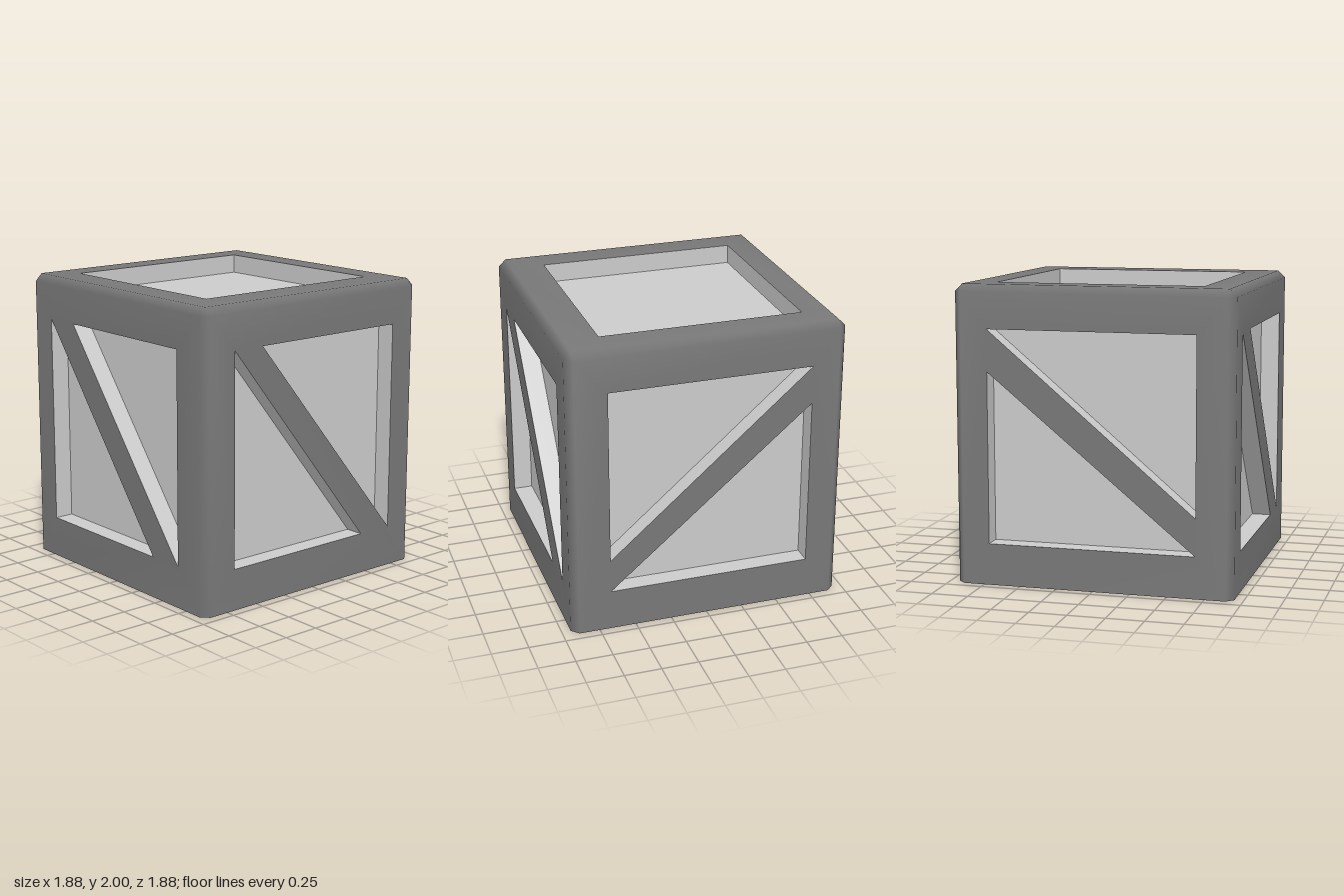
import * as THREE from 'three';
import { mergeGeometries, mergeVertices } from 'three/addons/utils/BufferGeometryUtils.js';

const HALF = 0.94, TOP = 2, CHAMFER = 0.05, DEPTH = 0.13;
const IN = HALF - CHAMFER, SHOULDER = TOP - CHAMFER;

const frameMaterial = new THREE.MeshStandardMaterial({ color: 0x787878, side: THREE.DoubleSide });
const panelMaterial = new THREE.MeshStandardMaterial({ color: 0xcccccc, side: THREE.DoubleSide });

// Each face lies in local x/y and looks along +z; openings run counter-clockwise.
const faces = [
  { name: 'front', turn: 0, openings: [
    [[-0.69, 1.71], [-0.69, 0.28], [0.45, 0.28]],
    [[-0.46, 1.71], [0.71, 0.28], [0.71, 1.71]] ] },
  { name: 'left', turn: 1, openings: [
    [[-0.67, 1.71], [-0.67, 0.51], [0.71, 1.71]],
    [[-0.67, 0.28], [0.71, 0.28], [0.71, 1.45]] ] },
  { name: 'back', turn: 2, openings: [
    [[-0.71, 1.71], [0.69, 0.53], [0.69, 1.71]],
    [[-0.71, 1.43], [-0.71, 0.28], [0.69, 0.28]] ] },
  { name: 'right', turn: 3, openings: [
    [[-0.71, 1.71], [-0.71, 0.28], [0.41, 0.28]],
    [[-0.45, 1.71], [0.67, 0.28], [0.67, 1.71]] ] },
  { name: 'top', openings: [
    [[-0.69, -0.66], [0.71, -0.66], [0.71, 0.71], [-0.69, 0.71]] ] },
];

function faceMatrix(face) {
  if (face.turn === undefined) {
    return new THREE.Matrix4().makeRotationX(-Math.PI / 2).setPosition(0, TOP, 0);
  }
  const turn = new THREE.Matrix4().makeRotationY(face.turn * Math.PI / 2);
  return turn.multiply(new THREE.Matrix4().makeTranslation(0, 0, HALF));
}

const toPoints = list => list.map(([x, y]) => new THREE.Vector2(x, y));

// Convex polygons as plain flat-shaded triangles
function polygons(list) {
  const pos = [];
  for (const p of list) {
    for (let i = 1; i < p.length - 1; i++) pos.push(...p[0], ...p[i], ...p[i + 1]);
  }
  const geo = new THREE.BufferGeometry();
  geo.setAttribute('position', new THREE.Float32BufferAttribute(pos, 3));
  geo.computeVertexNormals();
  return geo;
}

// Flat border of one face, with its openings cut out
function faceSkin(face) {
  const [low, high] = face.turn === undefined ? [-IN, IN] : [0, SHOULDER];
  const shape = new THREE.Shape(toPoints([[-IN, low], [IN, low], [IN, high], [-IN, high]]));
  face.openings.forEach(o => shape.holes.push(new THREE.Path(toPoints(o))));
  const geo = new THREE.ShapeGeometry(shape).toNonIndexed();
  geo.deleteAttribute('uv');
  return geo.applyMatrix4(faceMatrix(face));
}

// One upright chamfer, one top chamfer and the corner between them
function chamfers(turn) {
  const a = [IN, SHOULDER, HALF], b = [HALF, SHOULDER, IN], c = [IN, TOP, IN];
  return polygons([
    [[IN, 0, HALF], [HALF, 0, IN], b, a],
    [[-IN, SHOULDER, HALF], a, c, [-IN, TOP, IN]],
    [a, b, c],
  ]).applyMatrix4(new THREE.Matrix4().makeRotationY(turn * Math.PI / 2));
}

// Sunken panel with the walls leading down to it
function recess(opening) {
  const walls = opening.map(([ax, ay], i) => {
    const [bx, by] = opening[(i + 1) % opening.length];
    return [[ax, ay, 0], [bx, by, 0], [bx, by, -DEPTH], [ax, ay, -DEPTH]];
  });
  return polygons([...walls, opening.map(([x, y]) => [x, y, -DEPTH])]);
}

export function createModel() {
  const model = new THREE.Group();
  model.name = 'crate';

  // Outer frame: one smooth shell, open underneath
  const parts = [...faces.map(faceSkin), ...[0, 1, 2, 3].map(chamfers)];
  const joined = mergeGeometries(parts);
  joined.deleteAttribute('normal');
  const shell = mergeVertices(joined, 1e-4);
  shell.computeVertexNormals();
  const frame = new THREE.Mesh(shell, frameMaterial);
  frame.name = 'frame';
  model.add(frame);

  // Recessed panels
  for (const face of faces) {
    const geo = mergeGeometries(face.openings.map(recess)).applyMatrix4(faceMatrix(face));
    const panel = new THREE.Mesh(geo, panelMaterial);
    panel.name = face.name + 'Panel';
    model.add(panel);
  }
  return model;
}
